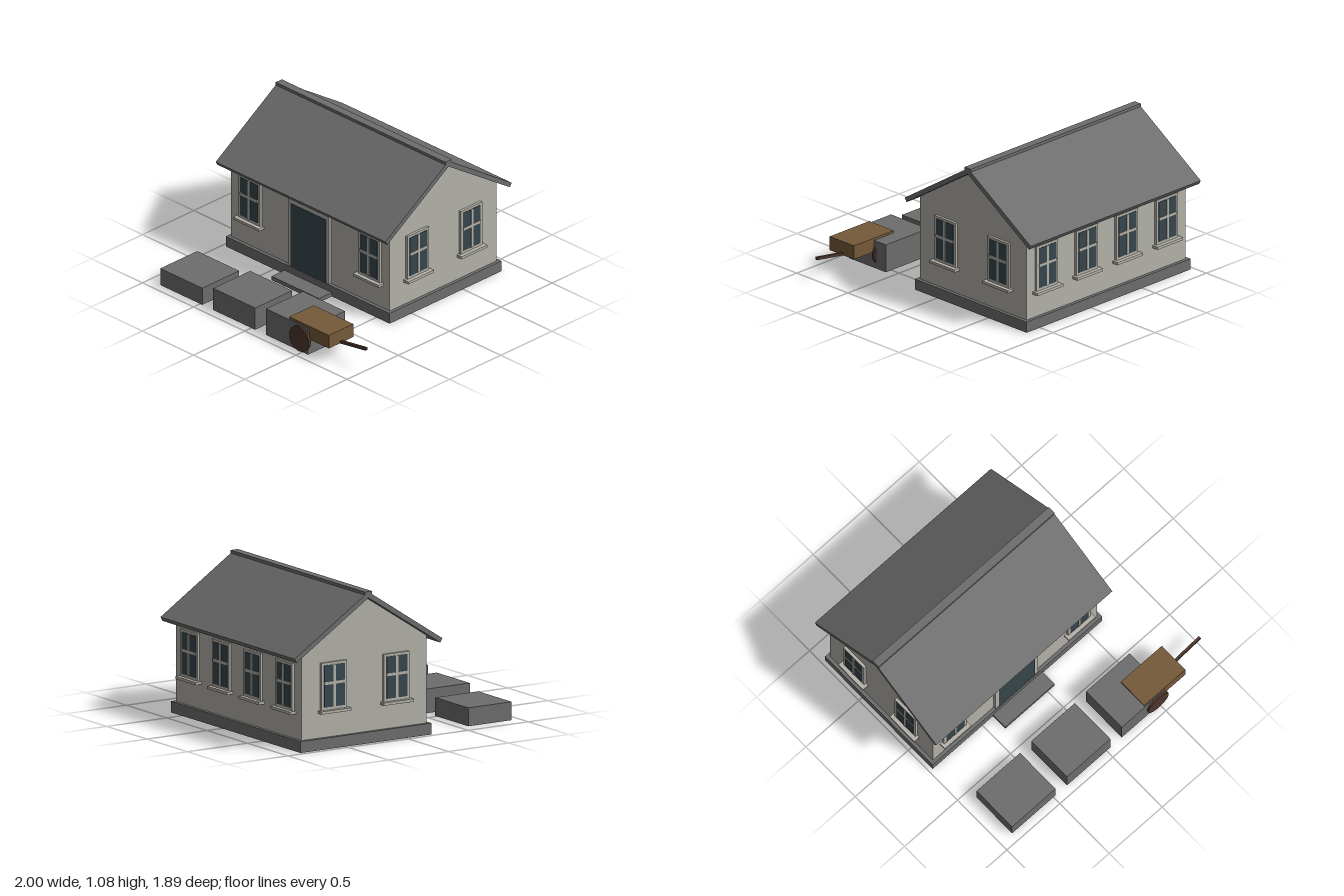
import * as THREE from 'three';

const mat = (name, color) => {
  const m = new THREE.MeshStandardMaterial({ color });
  m.name = name;
  return m;
};

export function createModel() {
  const model = new THREE.Group();
  model.name = 'cottageWithCart';
  const plaster = mat('plaster', 0xb5b3aa);
  const stone = mat('stone', 0x6e6e6e);
  const glass = mat('darkGlass', 0x37474f);
  const wood = mat('wood', 0x765a3a);
  const darkWood = mat('darkWood', 0x4e382c);

  // Box given by its lower and upper limits on each axis
  const box = (parent, name, material, [x0, x1], [y0, y1], [z0, z1]) => {
    const mesh = new THREE.Mesh(new THREE.BoxGeometry(x1 - x0, y1 - y0, z1 - z0), material);
    mesh.position.set((x0 + x1) / 2, (y0 + y1) / 2, (z0 + z1) / 2);
    mesh.name = name;
    parent.add(mesh);
    return mesh;
  };

  // Outline in (z, y), extruded along x from x0 to x1
  const extrudeX = (name, material, points, x0, x1) => {
    const shape = new THREE.Shape(points.map(([z, y]) => new THREE.Vector2(z, y)));
    const geo = new THREE.ExtrudeGeometry(shape, { depth: x1 - x0, bevelEnabled: false });
    geo.rotateY(-Math.PI / 2).translate(x1, 0, 0);
    const mesh = new THREE.Mesh(geo, material);
    mesh.name = name;
    model.add(mesh);
  };

  const wall = { left: 0.605, right: -0.945, front: 0.19, back: -0.85 };
  const ridgeZ = -0.33;

  // Foundation, doorstep and gabled walls
  box(model, 'plinth', stone, [-0.97, 0.63], [0, 0.08], [-0.875, 0.215]);
  box(model, 'doorstep', stone, [-0.4, 0.065], [0, 0.03], [0.2, 0.34]);
  extrudeX('walls', plaster, [
    [wall.front, 0.08], [wall.front, 0.7], [ridgeZ, 1.035], [wall.back, 0.7], [wall.back, 0.08],
  ], wall.right, wall.left);

  // Roof slabs as one chevron, with a ridge cap
  extrudeX('roof', stone, [
    [0.285, 0.677], [ridgeZ, 1.078], [-0.945, 0.677],
    [-0.928, 0.648], [ridgeZ, 1.036], [0.268, 0.648],
  ], -1, 0.66);
  box(model, 'ridgeCap', stone, [-1, 0.66], [1.045, 1.08], [ridgeZ - 0.03, ridgeZ + 0.03]);

  // Window facing +z, with its back on the wall plane
  const addWindow = (x, z, angle) => {
    const win = new THREE.Group();
    win.name = 'window';
    box(win, 'windowFrame', plaster, [-0.105, 0.105], [0.27, 0.61], [-0.01, 0.019]);
    for (const x0 of [-0.085, 0.01]) {
      for (const [y0, y1] of [[0.295, 0.455], [0.475, 0.592]]) {
        box(win, 'pane', glass, [x0, x0 + 0.075], [y0, y1], [0.015, 0.022]);
      }
    }
    box(win, 'verticalBar', plaster, [-0.01, 0.01], [0.295, 0.592], [0.015, 0.026]);
    box(win, 'crossBar', plaster, [-0.085, 0.085], [0.455, 0.475], [0.015, 0.026]);
    box(win, 'sill', plaster, [-0.125, 0.125], [0.255, 0.275], [-0.01, 0.048]);
    win.position.set(x, 0, z);
    win.rotation.y = angle;
    model.add(win);
  };
  for (const x of [-0.75, 0.42]) addWindow(x, wall.front, 0);
  for (const x of [-0.75, -0.36, 0.03, 0.42]) addWindow(x, wall.back, Math.PI);
  for (const z of [-0.07, -0.59]) {
    addWindow(wall.left, z, Math.PI / 2);
    addWindow(wall.right, z, -Math.PI / 2);
  }

  // Front door
  box(model, 'doorFrame', plaster, [-0.37, 0.03], [0.08, 0.61], [0.18, 0.209]);
  box(model, 'door', glass, [-0.34, 0], [0.08, 0.573], [0.205, 0.213]);

  // Row of stone blocks of rising height
  [0.13, 0.17, 0.205].forEach((h, i) => {
    const x = -0.89 + i * 0.517;
    box(model, 'stoneBlock', stone, [x, x + 0.41], [0, h], [0.575, 0.935]);
  });

  // Hand cart
  const cart = new THREE.Group();
  cart.name = 'cart';
  model.add(cart);
  box(cart, 'cartBody', wood, [0.363, 0.75], [0.12, 0.222], [0.69, 0.928]);
  for (const z of [0.68, 0.939]) {
    const geo = new THREE.CylinderGeometry(0.097, 0.097, 0.021, 14).rotateX(Math.PI / 2);
    const wheel = new THREE.Mesh(geo.toNonIndexed(), darkWood);
    wheel.geometry.computeVertexNormals();
    wheel.position.set(0.479, 0.1, z);
    wheel.name = 'wheel';
    cart.add(wheel);
  }
  const handle = box(cart, 'handle', darkWood, [0.71, 1], [0.134, 0.154], [0.799, 0.819]);
  handle.rotation.z = 0.15;

  return model;
}
